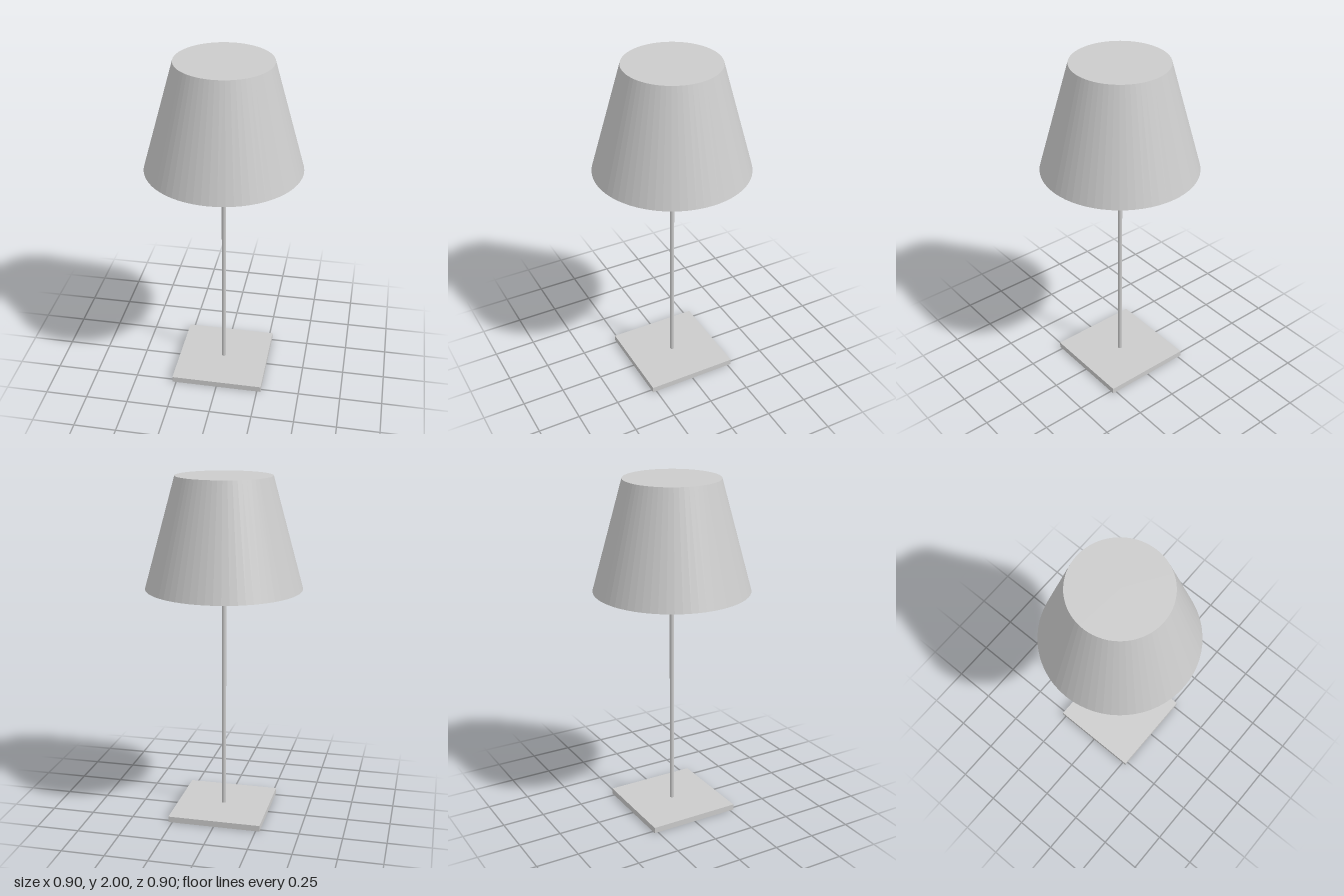
import * as THREE from 'three';

export function createModel() {
  const group = new THREE.Group();
  const grey = new THREE.MeshStandardMaterial({ color: 0xcccccc });
  const faceted = new THREE.MeshStandardMaterial({ color: 0xcccccc, flatShading: true });

  // Adds a part resting on the given height
  function addPart(name, geometry, material, bottom, height) {
    const mesh = new THREE.Mesh(geometry, material);
    mesh.name = name;
    mesh.position.y = bottom + height / 2;
    group.add(mesh);
  }

  const baseHeight = 0.035;
  const shadeBottom = 1.365;
  const shadeHeight = 2 - shadeBottom;
  const poleHeight = shadeBottom - baseHeight;

  // Square foot plate
  addPart('base', new THREE.BoxGeometry(0.545, baseHeight, 0.545), grey, 0, baseHeight);

  // Slim stem between plate and shade
  addPart('pole', new THREE.CylinderGeometry(0.013, 0.013, poleHeight, 24), grey, baseHeight, poleHeight);

  // Tapered shade, closed at top and bottom
  addPart('shade', new THREE.CylinderGeometry(0.275, 0.45, shadeHeight, 64), faceted, shadeBottom, shadeHeight);

  return group;
}
